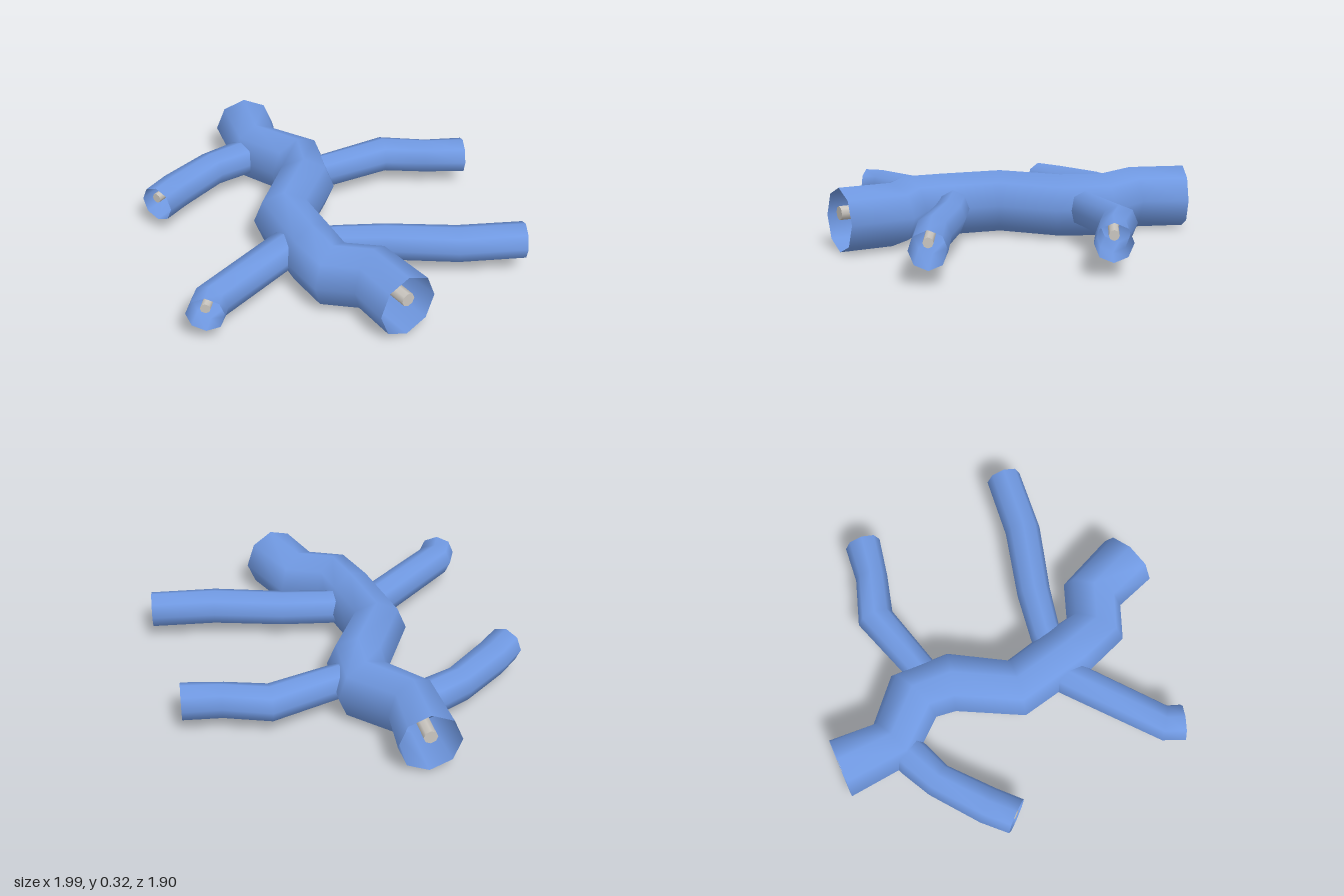
import * as THREE from 'three';

const AXIS_Y = 0.162;   // height of the tube axes
const CORE_Y = 0.197;   // height of the inner rods
const SIDES = 8;

// Lofts octagonal rings. Each ring is [leftX, leftZ, rightX, rightZ],
// left and right as seen when travelling along the path.
function loft(rings, y, radius, width = null, capped = false) {
  const pos = [], idx = [];
  const addRing = ([lx, lz, rx, rz]) => {
    const cx = (lx + rx) / 2, cz = (lz + rz) / 2;
    let hx = (rx - lx) / 2, hz = (rz - lz) / 2;
    if (width) {
      const k = width / Math.hypot(hx, hz);
      hx *= k; hz *= k;
    }
    for (let j = 0; j < SIDES; j++) {
      const a = (j / SIDES) * Math.PI * 2, c = Math.cos(a);
      pos.push(cx + hx * c, y + radius * Math.sin(a), cz + hz * c);
    }
  };
  rings.forEach(addRing);
  for (let i = 0; i < rings.length - 1; i++) {
    for (let j = 0; j < SIDES; j++) {
      const a = i * SIDES + j, b = i * SIDES + (j + 1) % SIDES;
      idx.push(a, b, b + SIDES, a, b + SIDES, a + SIDES);
    }
  }
  if (capped) {
    // separate end rings keep the cap edges sharp
    const s = pos.length / 3, e = s + SIDES;
    addRing(rings[0]);
    addRing(rings[rings.length - 1]);
    for (let j = 1; j < SIDES - 1; j++) {
      idx.push(s, s + j + 1, s + j, e, e + j, e + j + 1);
    }
  }
  const g = new THREE.BufferGeometry();
  g.setAttribute('position', new THREE.Float32BufferAttribute(pos, 3));
  g.setIndex(idx);
  g.computeVertexNormals();
  return g;
}

export function createModel() {
  const model = new THREE.Group();
  model.name = 'branchingTube';

  const blue = new THREE.MeshStandardMaterial({ color: 0x7099e2, side: THREE.DoubleSide });
  blue.name = 'sheathBlue';
  const grey = new THREE.MeshStandardMaterial({ color: 0xcac6c0 });
  grey.name = 'coreGrey';

  // One hollow sheath with a rod running inside it
  function addTube(name, rings, radius, coreRadius) {
    const group = new THREE.Group();
    group.name = name;
    const sheath = new THREE.Mesh(loft(rings, AXIS_Y, radius), blue);
    sheath.name = name + 'Sheath';
    const core = new THREE.Mesh(loft(rings, CORE_Y, coreRadius, coreRadius, true), grey);
    core.name = name + 'Core';
    group.add(sheath, core);
    model.add(group);
  }

  // Main trunk, back to front
  addTube('trunk', [
    [0.00, -0.955, 0.29, -0.835],
    [-0.095, -0.62, 0.19, -0.62],
    [-0.01, -0.37, 0.31, -0.375],
    [-0.06, -0.28, 0.19, -0.09],
    [-0.33, -0.05, -0.06, 0.10],
    [-0.40, 0.36, -0.09, 0.32],
    [-0.405, 0.60, -0.12, 0.48],
    [-0.27, 0.73, 0.02, 0.61],
    [-0.28, 0.95, 0.035, 0.945],
  ], 0.161, 0.035);

  // Side branches, from the trunk axis outwards
  addTube('backRightBranch', [
    [0.05, -0.70, 0.05, -0.52],
    [-0.10, -0.70, -0.08, -0.51],
    [-0.27, -0.685, -0.23, -0.515],
    [-0.55, -0.61, -0.485, -0.43],
    [-0.69, -0.55, -0.625, -0.375],
  ], 0.093, 0.025);

  addTube('backLeftBranch', [
    [0.10, -0.17, 0.11, -0.34],
    [0.22, -0.165, 0.28, -0.32],
    [0.56, -0.12, 0.63, -0.295],
    [0.725, 0.005, 0.82, -0.13],
    [0.905, 0.125, 0.99, -0.04],
  ], 0.093, 0.025);

  addTube('frontRightBranch', [
    [-0.25, 0.13, -0.23, 0.31],
    [-0.38, 0.16, -0.36, 0.35],
    [-0.915, 0.33, -0.81, 0.485],
    [-1.00, 0.415, -0.855, 0.535],
  ], 0.093, 0.025);

  addTube('frontLeftBranch', [
    [-0.22, 0.38, -0.18, 0.22],
    [-0.11, 0.43, -0.07, 0.265],
    [0.06, 0.545, 0.15, 0.395],
    [0.34, 0.765, 0.44, 0.61],
    [0.64, 0.925, 0.725, 0.765],
  ], 0.093, 0.025);

  return model;
}
